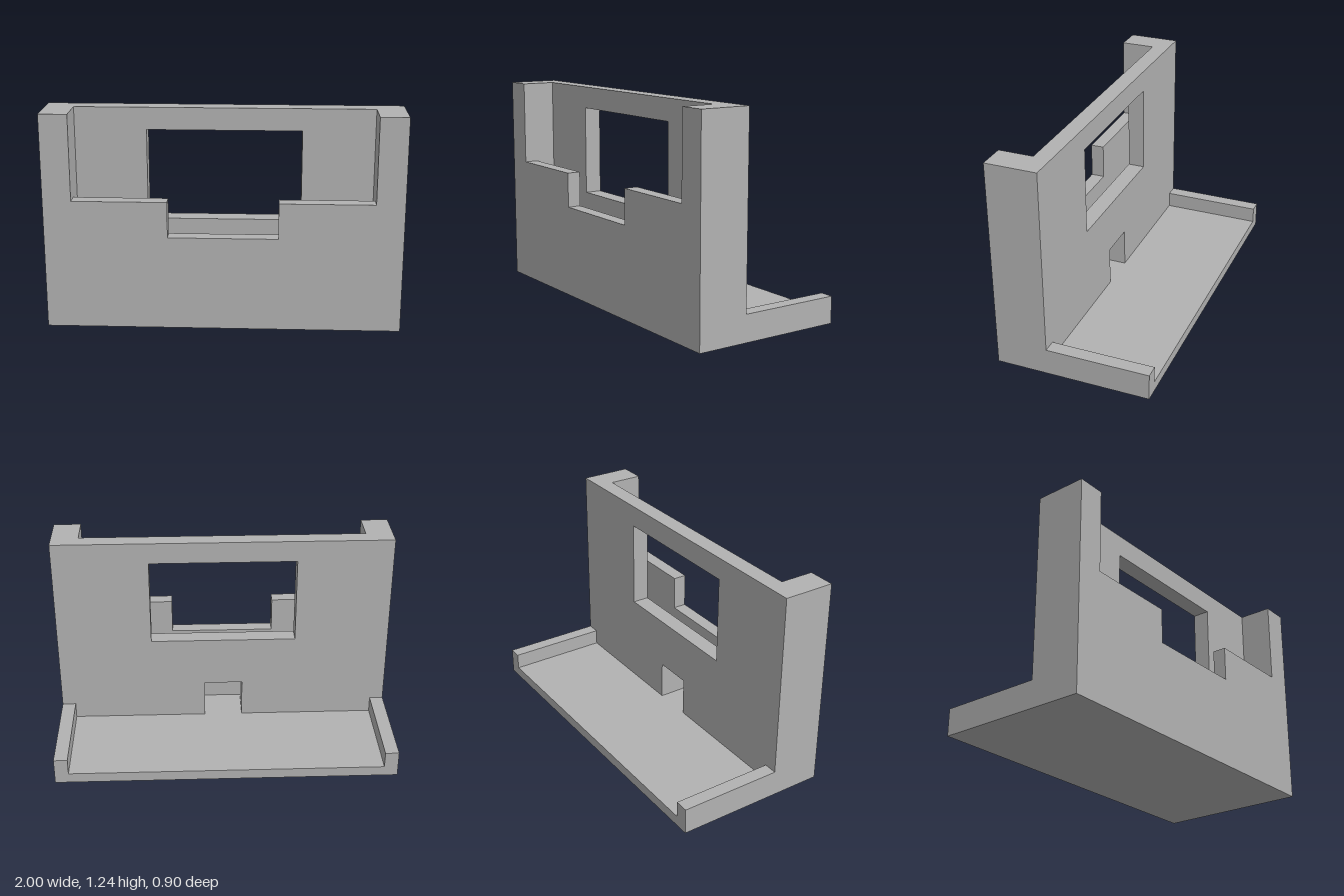
import * as THREE from 'three';

const FLOOR = 0.06, TOP = 1.235;

export function createModel() {
  const group = new THREE.Group();
  const grey = new THREE.MeshStandardMaterial({ color: 0xb2b2b2 });
  grey.name = 'light grey';

  const add = (name, geometry) => {
    const mesh = new THREE.Mesh(geometry, grey);
    mesh.name = name;
    group.add(mesh);
  };
  // Box given by its limits on each axis
  const box = (name, x0, x1, y0, y1, z0, z1) =>
    add(name, new THREE.BoxGeometry(x1 - x0, y1 - y0, z1 - z0)
      .translate((x0 + x1) / 2, (y0 + y1) / 2, (z0 + z1) / 2));
  // Upright plate: outline in x and y, extruded from z0 to z1
  const plate = (name, points, hole, z0, z1) => {
    const toVectors = (list) => list.map(([x, y]) => new THREE.Vector2(x, y));
    const shape = new THREE.Shape(toVectors(points));
    if (hole) shape.holes.push(new THREE.Path(toVectors(hole)));
    add(name, new THREE.ExtrudeGeometry(shape, { depth: z1 - z0, bevelEnabled: false })
      .translate(0, 0, z0));
  };

  // Floor under the whole stand
  box('base', -1, 1, 0, FLOOR, -0.45, 0.45);

  // Rear wall of the pocket, with a window and a cable opening at the floor
  plate('rearWall', [
    [-0.84, FLOOR], [-0.115, FLOOR], [-0.115, 0.29], [0.115, 0.29],
    [0.115, FLOOR], [0.84, FLOOR], [0.84, TOP], [-0.84, TOP],
  ], [[-0.435, 0.59], [-0.435, 1.108], [0.435, 1.108], [0.435, 0.59]], 0.15, 0.25);

  // Lower front panel with a notch in its top edge
  plate('frontPanel', [
    [-0.84, FLOOR], [0.84, FLOOR], [0.84, 0.745], [0.308, 0.745],
    [0.308, 0.54], [-0.308, 0.54], [-0.308, 0.745], [-0.84, 0.745],
  ], null, 0.37, 0.45);

  // Mirrored end posts, base rails and raised pocket floors beside the cable channel
  for (const [side, s] of [['left', 1], ['right', -1]]) {
    const pair = (name, a, b, ...rest) =>
      box(side + name, Math.min(a * s, b * s), Math.max(a * s, b * s), ...rest);
    pair('Post', 0.84, 1, FLOOR, TOP, 0.15, 0.45);
    pair('Rail', 0.92, 1, FLOOR, 0.155, -0.45, 0.15);
    pair('PocketFloor', 0.115, 0.84, FLOOR, 0.25, 0.25, 0.37);
  }
  return group;
}
